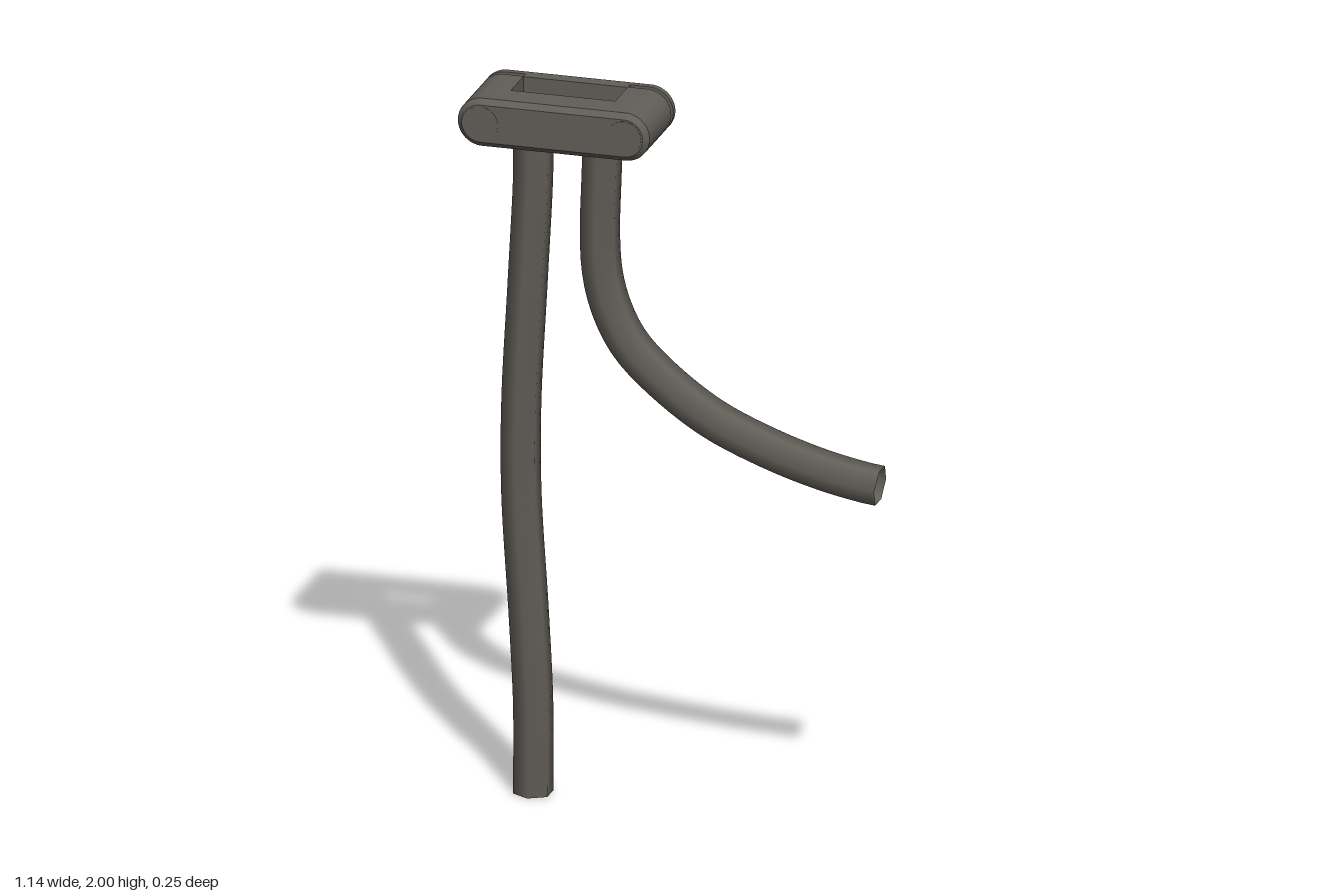
import * as THREE from 'three';
import { toCreasedNormals } from 'three/addons/utils/BufferGeometryUtils.js';

const X0 = -0.568, X1 = -0.034;         // clasp ends
const S0 = -0.445, S1 = -0.155;         // slot ends
const CY = 1.9325, R = 0.0675;          // clasp axis height and half height

const darkGrey = new THREE.MeshStandardMaterial({ color: 0x615d57 });
darkGrey.name = 'dark grey';
const darkGreyOpen = new THREE.MeshStandardMaterial({ color: 0x615d57, side: THREE.DoubleSide });
darkGreyOpen.name = 'dark grey cord';

// Outline with rounded or square ends, shrunk by inset
function outline(x0, x1, roundLeft, roundRight, inset = 0) {
  const r = R - inset;
  const s = new THREE.Shape();
  if (roundLeft) s.absarc(x0 + R, CY, r, Math.PI / 2, Math.PI * 1.5);
  else { s.moveTo(x0, CY + r); s.lineTo(x0, CY - r); }
  if (roundRight) s.absarc(x1 - R, CY, r, -Math.PI / 2, Math.PI / 2);
  else { s.lineTo(x1, CY - r); s.lineTo(x1, CY + r); }
  s.closePath();
  return s;
}

function slab(shape, z0, z1, bevel = 0) {
  const g = new THREE.ExtrudeGeometry(shape, {
    depth: z1 - z0 - bevel, curveSegments: 16, bevelEnabled: bevel > 0,
    bevelSize: bevel, bevelThickness: bevel, bevelSegments: 1,
  });
  // Keep the bevel on the front only
  const p = g.attributes.position;
  for (let i = 0; i < p.count; i++) p.setZ(i, Math.max(p.getZ(i), 0));
  g.translate(0, 0, z0);
  return toCreasedNormals(g, 0.5);
}

export function createModel() {
  const model = new THREE.Group();
  model.name = 'cordClasp';
  const add = (name, geometry, material = darkGrey) => {
    const m = new THREE.Mesh(geometry, material);
    m.name = name;
    model.add(m);
    return m;
  };

  // U-shaped clasp body
  add('claspFront', slab(outline(X0, X1, true, true, 0.015), 0.028, 0.124, 0.015));
  add('claspRightArm', slab(outline(X0, S0, true, false), -0.088, 0.028));
  add('claspLeftArm', slab(outline(S1, X1, false, true), -0.088, 0.028));

  // Back plate with a raised pad facing the slot
  add('backPlate', slab(outline(X0, X1, true, true), -0.125, -0.106));
  add('backPad', new THREE.BoxGeometry(S1 - S0, 2 * R, 0.022))
    .position.set((S0 + S1) / 2, CY, -0.095);

  // Front discs and the pins that hold the plate
  for (const x of [X0 + R, X1 - R]) {
    const disc = add('pinHead', new THREE.CylinderGeometry(0.048, 0.048, 0.008, 24));
    disc.rotation.x = Math.PI / 2;
    disc.position.set(x, CY, 0.121);
    const pin = add('pin', new THREE.CylinderGeometry(0.02, 0.02, 0.03, 16));
    pin.rotation.x = Math.PI / 2;
    pin.position.set(x, CY, -0.097);
  }

  // Hollow six-sided cords
  const cord = (name, points) => {
    const curve = new THREE.CatmullRomCurve3(points.map(([x, y]) => new THREE.Vector3(x, y, -0.027)));
    add(name, new THREE.TubeGeometry(curve, 40, 0.055, 6), darkGreyOpen);
  };
  cord('straightCord', [
    [-0.4, 1.88], [-0.4, 1.75], [-0.415, 1.45], [-0.433, 1.1], [-0.433, 0.85],
    [-0.412, 0.5], [-0.4, 0.25], [-0.4, 0],
  ]);
  cord('bentCord', [
    [-0.205, 1.88], [-0.21, 1.75], [-0.214, 1.595], [-0.206, 1.483], [-0.18, 1.388],
    [-0.132, 1.298], [-0.048, 1.213], [0.095, 1.112], [0.254, 1.043], [0.408, 0.996],
    [0.53, 0.972], [0.566, 0.968],
  ]);
  return model;
}
